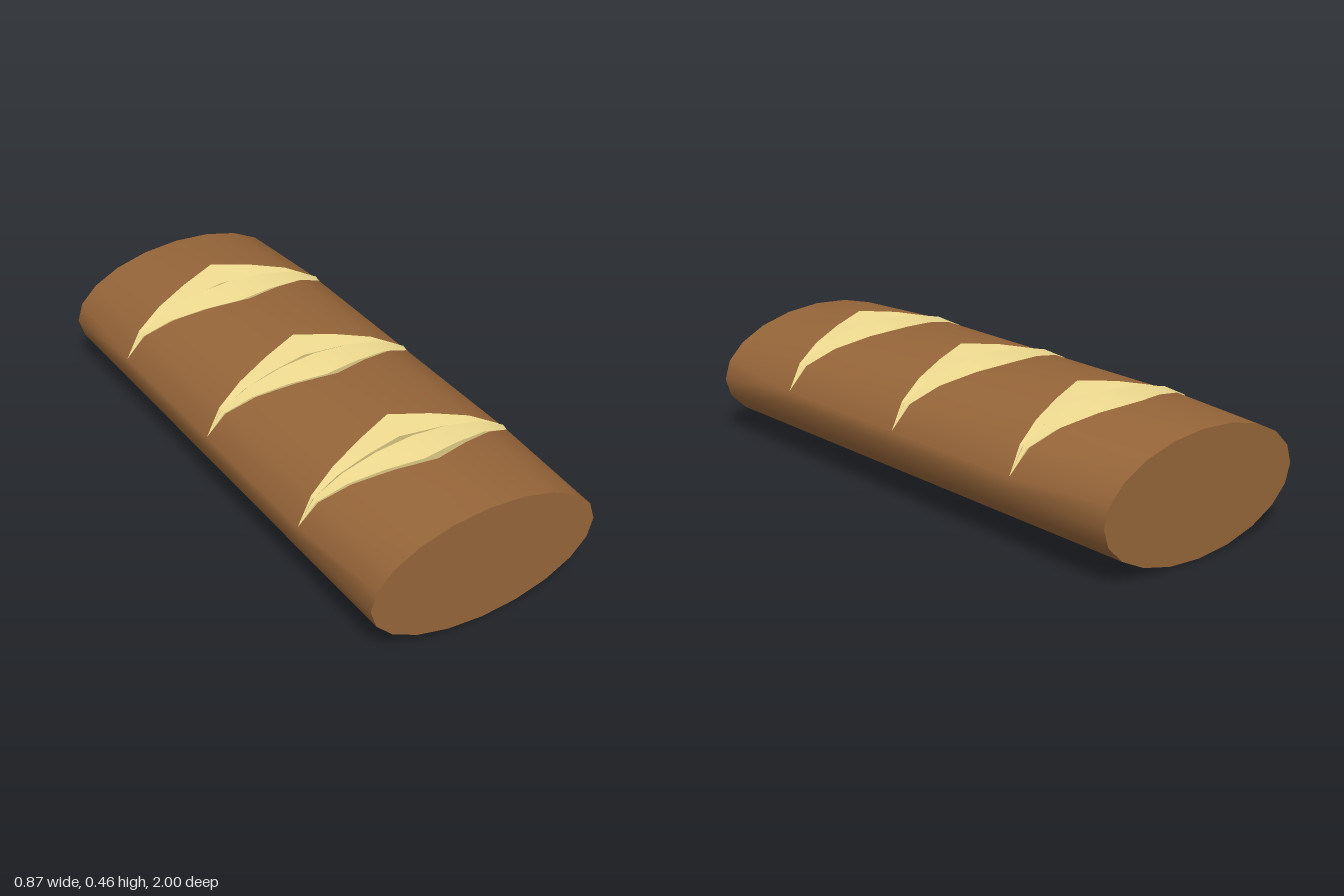
import * as THREE from 'three';
import { mergeVertices, toCreasedNormals } from 'three/addons/utils/BufferGeometryUtils.js';

const SIDES = 20, RX = 0.435, RY = 0.218;
const CUTS = [-0.585, 0, 0.585];
const CUT_HALF = 0.145, TIP = 0.437;
// Puffed crust and score ridge from the crown outwards: x, crust y, ridge y
const CROWN = [
  [0, 0.46, 0.462], [0.14, 0.44, 0.45], [0.27, 0.408, 0.417], [0.373, 0.357, 0.365], [TIP, 0.27, 0.27],
];

// Skin rows of points with triangles, dropping collapsed ones
function skin(rows) {
  const pos = [], t = new THREE.Triangle();
  const add = (a, b, c) => {
    t.set(a, b, c);
    if (t.getArea() > 1e-7) pos.push(...a, ...b, ...c);
  };
  for (let r = 0; r < rows.length - 1; r++) {
    for (let k = 0; k < rows[r].length - 1; k++) {
      const a = rows[r][k], b = rows[r][k + 1], c = rows[r + 1][k], d = rows[r + 1][k + 1];
      add(a, b, c);
      add(b, d, c);
    }
  }
  const g = new THREE.BufferGeometry();
  g.setAttribute('position', new THREE.Float32BufferAttribute(pos, 3));
  return g;
}

// Plain oval at the ends
function endRing(z) {
  return Array.from({ length: SIDES + 1 }, (_, k) => {
    const a = (k % SIDES) / SIDES * Math.PI * 2;
    return new THREE.Vector3(RX * Math.sin(a), RY * (1 - Math.cos(a)), z);
  });
}

// Oval with puffed crown whose z follows one edge of a diamond score
function cutRing(z, side) {
  return endRing(z).map((p, k) => {
    const m = CROWN[Math.abs(k - 10)];
    if (!m) return p;
    return p.set((k < 10 ? 1 : -1) * m[0], m[1], z + side * CUT_HALF * (1 - m[0] / TIP));
  });
}

// Diamond score: raised centre ridge with a shallow valley on each side
function scoreRows(z) {
  return [-1, -0.5, 0, 0.5, 1].map((s) => Array.from({ length: 9 }, (_, i) => {
    const [x, crust, ridge] = CROWN[Math.abs(i - 4)];
    const w = 1 - x / TIP;
    const y = s === 0 ? ridge : Math.abs(s) === 1 ? crust : crust - 0.045 * w;
    return new THREE.Vector3((i < 4 ? 1 : -1) * x, y, z + s * CUT_HALF * w);
  }));
}

export function createModel() {
  const group = new THREE.Group();
  const crustMat = new THREE.MeshStandardMaterial({ color: 0x966539, side: THREE.DoubleSide });
  const crumbMat = new THREE.MeshStandardMaterial({ color: 0xe8d48b, side: THREE.DoubleSide });
  const add = (name, geometry, material) => {
    const mesh = new THREE.Mesh(geometry, material);
    mesh.name = name;
    group.add(mesh);
    return mesh;
  };

  // Crust: four bands between the ends and the scores, joined smoothly
  const points = [];
  for (let s = 0; s <= CUTS.length; s++) {
    const start = s === 0 ? endRing(-1) : cutRing(CUTS[s - 1], 1);
    const end = s === CUTS.length ? endRing(1) : cutRing(CUTS[s], -1);
    points.push(...skin([start, end]).attributes.position.array);
  }
  let crust = new THREE.BufferGeometry();
  crust.setAttribute('position', new THREE.Float32BufferAttribute(points, 3));
  crust = mergeVertices(crust);
  crust.computeVertexNormals();
  add('crust', crust, crustMat);

  // Flat ends
  for (const side of [1, -1]) {
    const cap = add(side > 0 ? 'frontEnd' : 'backEnd', new THREE.CircleGeometry(1, SIDES), crustMat);
    cap.scale.set(RX, RY, 1);
    cap.position.set(0, RY, side);
    if (side < 0) cap.rotation.y = Math.PI;
  }

  // Pale scores across the top
  CUTS.forEach((z, i) => add(`score${i + 1}`, toCreasedNormals(skin(scoreRows(z)), 0.5), crumbMat));

  return group;
}
